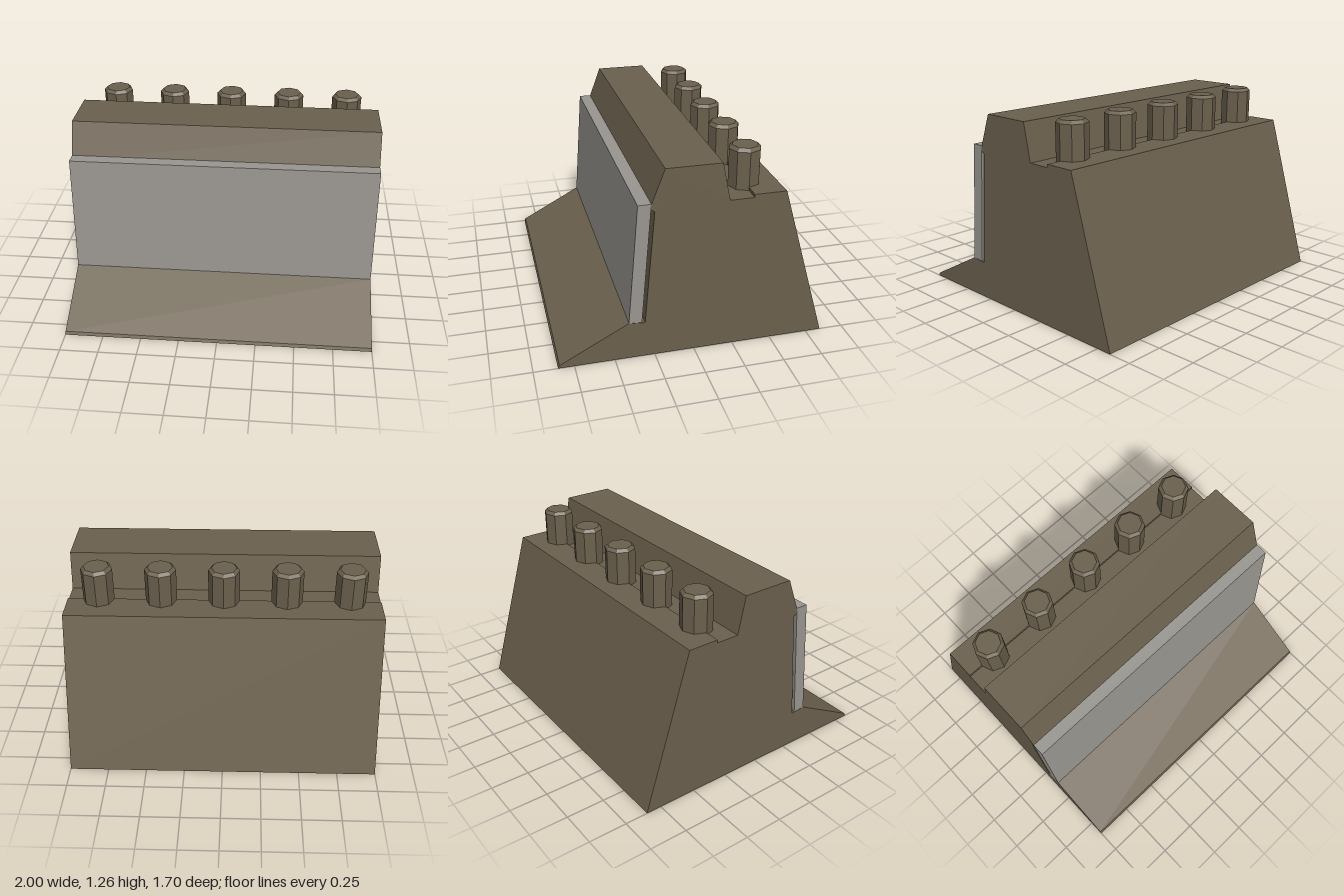
import * as THREE from 'three';

const concrete = new THREE.MeshStandardMaterial({ color: 0x6b604d });
concrete.name = 'brownConcrete';
const panelGrey = new THREE.MeshStandardMaterial({ color: 0x999690 });
panelGrey.name = 'greyPanel';

// Extrudes a (z, y) cross-section across the full width in x
function crossSection(name, points, material) {
  const shape = new THREE.Shape(points.map(([z, y]) => new THREE.Vector2(z, y)));
  const geometry = new THREE.ExtrudeGeometry(shape, { depth: 2, bevelEnabled: false });
  geometry.translate(0, 0, -1);
  geometry.rotateY(-Math.PI / 2);
  const mesh = new THREE.Mesh(geometry, material);
  mesh.name = name;
  return mesh;
}

export function createModel() {
  const model = new THREE.Group();
  model.name = 'barrierWall';

  // Sloped wall with front apron, raised parapet and stepped rear ledge
  model.add(crossSection('wallBody', [
    [0.85, 0], [0.84, 0.02], [0.41, 0.25], [0.31, 0.24], [0.25, 0.98],
    [0.28, 1.0], [0.19, 1.24], [-0.15, 1.24], [-0.2, 1.0], [-0.35, 1.0],
    [-0.35, 1.02], [-0.55, 1.02], [-0.85, 0],
  ], concrete));

  // Leaning slab held just off the front face
  model.add(crossSection('frontPanel', [
    [0.41, 0.25], [0.35, 1.03], [0.27, 1.03], [0.33, 0.245],
  ], panelGrey));

  // Octagonal posts with chamfered tops along the ledge
  const profile = [[0, 0.98], [0.1, 0.98], [0.1, 1.24], [0.08, 1.26], [0, 1.26]]
    .map(([r, y]) => new THREE.Vector2(r, y));
  const postGeometry = new THREE.LatheGeometry(profile, 8).toNonIndexed();
  postGeometry.computeVertexNormals();
  for (let i = -2; i <= 2; i++) {
    const post = new THREE.Mesh(postGeometry, concrete);
    post.name = 'post' + (i + 3);
    post.position.set(i * 0.4, 0, -0.35);
    model.add(post);
  }
  return model;
}
